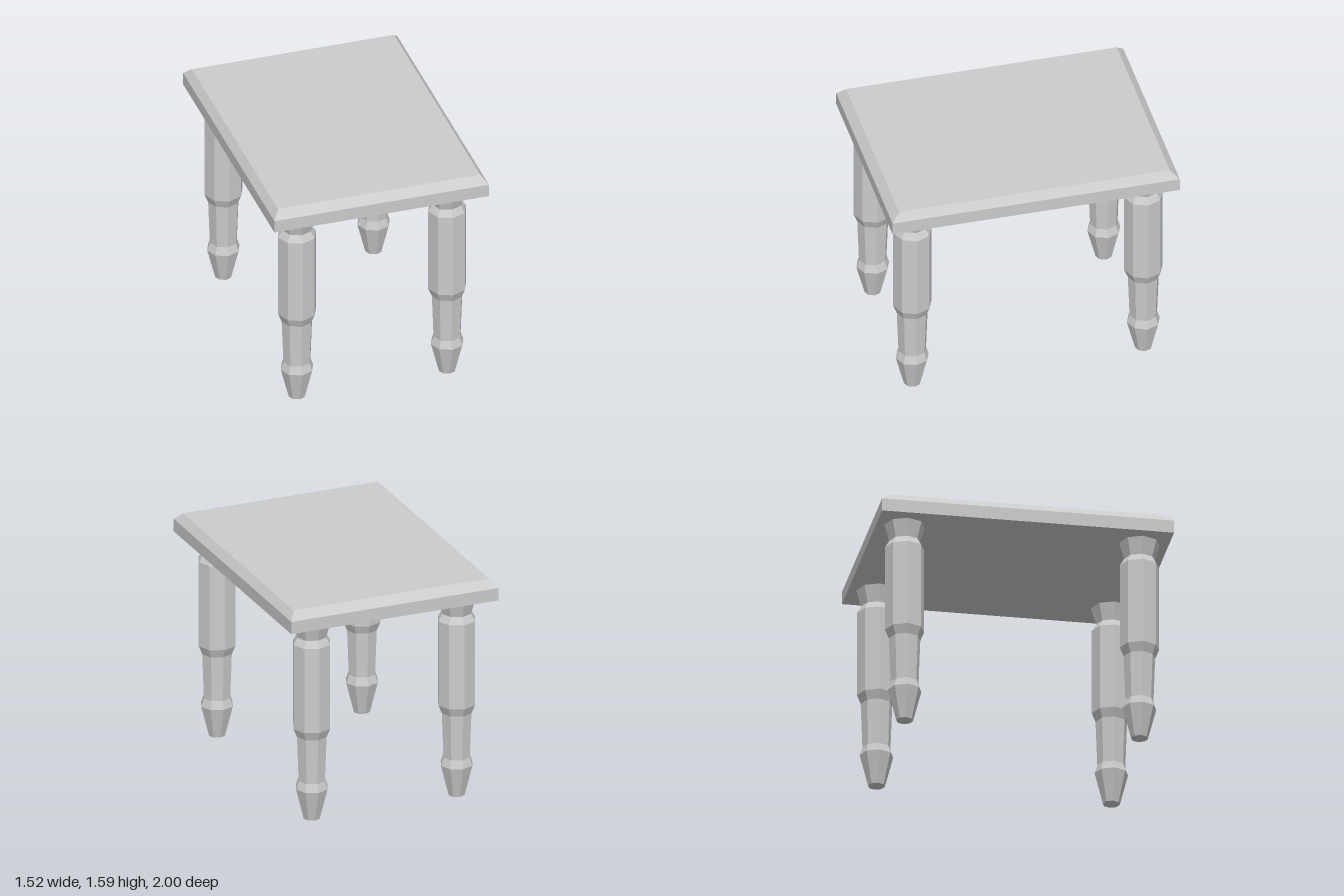
import * as THREE from 'three';

const material = new THREE.MeshStandardMaterial({ color: 0xcccccc, flatShading: true });

// Slab with upright sides and a sloping bevel around its upper face
function createTabletop() {
  const bottom = 1.445, shoulder = 1.535, top = 1.59;
  const geometry = new THREE.BoxGeometry(1.52, 2, 2, 1, 2, 1).rotateX(0);
  geometry.dispose();
  const slab = new THREE.BoxGeometry(1.52, 2, 2, 1, 2, 1);
  const p = slab.attributes.position;
  for (let i = 0; i < p.count; i++) {
    const level = Math.round(p.getY(i)); // -1 bottom, 0 shoulder, 1 top
    p.setY(i, level < 0 ? bottom : level > 0 ? top : shoulder);
    if (level > 0) {
      p.setX(i, Math.sign(p.getX(i)) * 0.716);
      p.setZ(i, Math.sign(p.getZ(i)) * 0.942);
    }
  }
  slab.computeVertexNormals();
  const mesh = new THREE.Mesh(slab, material);
  mesh.name = 'tabletop';
  return mesh;
}

// Eight-sided turned leg, profile as [radius, height]
function createLegGeometry() {
  const profile = [
    [0, 0], [0.058, 0], [0.115, 0.222], [0.096, 0.28], [0.108, 0.603],
    [0.134, 0.665], [0.134, 1.277], [0.105, 1.327], [0.139, 1.446], [0, 1.446],
  ].map(([r, y]) => new THREE.Vector2(r, y));
  return new THREE.LatheGeometry(profile, 8);
}

export function createModel() {
  const model = new THREE.Group();
  model.name = 'table';
  model.add(createTabletop());

  // One leg at each corner
  const legGeometry = createLegGeometry();
  for (const [side, x] of [['Left', 0.527], ['Right', -0.537]]) {
    for (const [end, z] of [['front', 0.803], ['back', -0.806]]) {
      const leg = new THREE.Mesh(legGeometry, material);
      leg.name = `${end}${side}Leg`;
      leg.position.set(x, 0, z);
      model.add(leg);
    }
  }
  return model;
}
